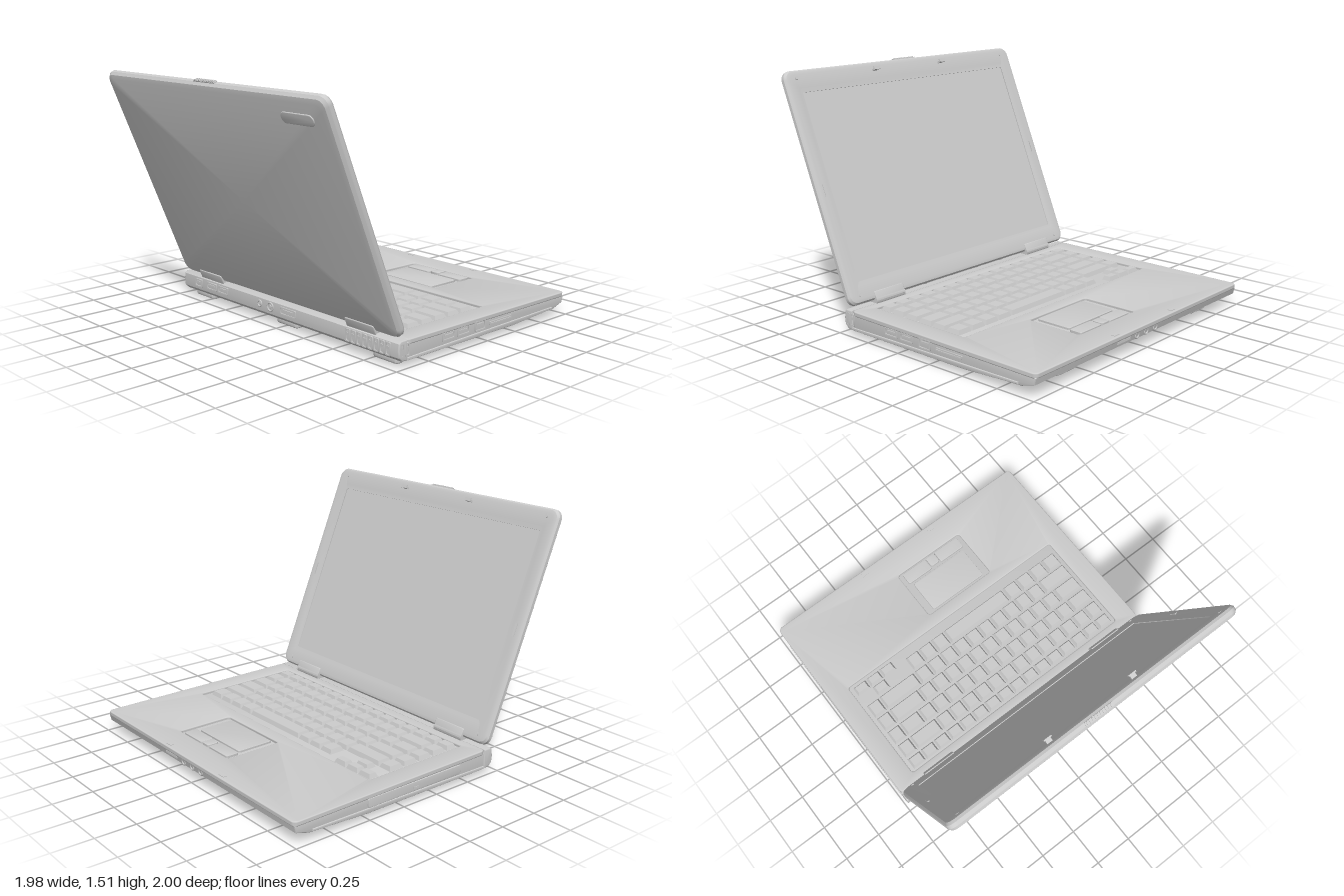
import * as THREE from 'three';
import { toCreasedNormals } from 'three/addons/utils/BufferGeometryUtils.js';

const material = new THREE.MeshStandardMaterial({ color: 0xcccccc });

function add(parent, name, geometry, x = 0, y = 0, z = 0) {
  const mesh = new THREE.Mesh(geometry, material);
  mesh.name = name;
  mesh.position.set(x, y, z);
  parent.add(mesh);
  return mesh;
}
const box = (parent, name, w, h, d, x, y, z) => add(parent, name, new THREE.BoxGeometry(w, h, d), x, y, z);

// Counter-clockwise rounded rectangle outline
function roundedRect(x0, x1, y0, y1, r, steps = 6) {
  const points = [];
  const corners = [[x1 - r, y0 + r], [x1 - r, y1 - r], [x0 + r, y1 - r], [x0 + r, y0 + r]];
  corners.forEach(([cx, cy], k) => {
    for (let i = 0; i <= steps; i++) {
      const a = (k - 1 + i / steps) * Math.PI / 2;
      points.push(new THREE.Vector2(cx + r * Math.cos(a), cy + r * Math.sin(a)));
    }
  });
  return points;
}

function extrude(points, depth, bevel, holes = []) {
  const shape = new THREE.Shape(points);
  holes.forEach(h => shape.holes.push(new THREE.Path(h)));
  const g = new THREE.ExtrudeGeometry(shape, {
    depth: depth - 2 * bevel, bevelEnabled: bevel > 0, bevelThickness: bevel,
    bevelSize: bevel, bevelOffset: -bevel, bevelSegments: 3,
  });
  g.translate(0, 0, bevel - depth / 2);
  return toCreasedNormals(g, 0.6);
}

// Horizontal plate given in x and z
function plate(parent, name, points, top, thick, bevel, holes) {
  return add(parent, name, extrude(points, thick, bevel, holes).rotateX(Math.PI / 2), 0, top - thick / 2, 0);
}

// Side profile of [z, y] points extended across the width
function prism(parent, name, profile, width, bevel) {
  const g = extrude(profile.map(p => new THREE.Vector2(...p)), width, bevel);
  return add(parent, name, g.rotateY(-Math.PI / 2));
}

// Skin through rounded rectangles [x half width, y0, y1, radius, z]
function loft(rings) {
  const loops = rings.map(([w, y0, y1, r, z]) =>
    roundedRect(-w, w, y0, y1, r).map(p => new THREE.Vector3(p.x, p.y, z)));
  const n = loops[0].length, index = [];
  for (let k = 0; k < loops.length - 1; k++) for (let i = 0; i < n; i++) {
    const a = k * n + i, b = k * n + (i + 1) % n;
    index.push(a, b, b + n, a, b + n, a + n);
  }
  const g = new THREE.BufferGeometry().setFromPoints(loops.flat());
  g.setIndex(index);
  return toCreasedNormals(g, 0.5);
}

// Keycap narrowing towards the top
function key(parent, x0, x1, z0, z1) {
  const w = Math.abs(x1 - x0) - 0.008, d = z1 - z0, h = 0.026;
  const g = new THREE.BoxGeometry(w, h, d), p = g.attributes.position;
  for (let i = 0; i < p.count; i++) if (p.getY(i) > 0) {
    p.setX(i, p.getX(i) - Math.sign(p.getX(i)) * 0.012);
    p.setZ(i, p.getZ(i) * (1 - 0.022 / d));
  }
  g.computeVertexNormals();
  add(parent, 'key', g, (x0 + x1) / 2, -0.004, (z0 + z1) / 2);
}

// Socket rim with a tongue, facing +z
function port(parent, name, x, y, w, h) {
  const g = new THREE.Group();
  g.name = name;
  const t = 0.007;
  add(g, 'socketRim', extrude(roundedRect(-w / 2, w / 2, -h / 2, h / 2, 0.004), 0.012, 0, [
    roundedRect(t - w / 2, w / 2 - t, t - h / 2, h / 2 - t, 0.002)]));
  box(g, 'socketTongue', w * 0.65, h * 0.22, 0.01, 0, h * 0.1, 0);
  g.position.set(x, y, 0);
  parent.add(g);
}

function buildBase(model) {
  prism(model, 'baseBody', [[-0.985, 0.075], [-0.9, 0.05], [-0.5, 0.035], [0.41, 0.035], [0.41, 0.137],
    [-0.97, 0.126], [-0.995, 0.115]], 1.96, 0.006);
  prism(model, 'rearBar', [[0.4, 0.035], [0.44, 0.037], [0.465, 0.06], [0.47, 0.1], [0.465, 0.14],
    [0.45, 0.154], [0.4, 0.154]], 1.97, 0.008);
  prism(model, 'lowerTrim', [[-0.88, 0.055], [-0.5, 0.035], [0.4, 0.035], [0.4, 0.052], [0, 0.058], [-0.88, 0.068]], 1.972, 0.003);

  // Upper deck with keyboard and touchpad openings
  const deck = new THREE.Group();
  deck.name = 'deck';
  deck.position.set(0, 0.148, -0.3);
  deck.rotation.x = -0.008;
  model.add(deck);
  const inner = new THREE.Group();
  inner.name = 'deckParts';
  inner.position.z = 0.3;
  deck.add(inner);
  plate(inner, 'palmRestDeck', roundedRect(-0.985, 0.985, -1, 0.405, 0.03), 0, 0.03, 0.007, [
    roundedRect(-0.85, 0.85, -0.375, 0.34, 0.015), roundedRect(-0.12, 0.4, -0.82, -0.46, 0.02)]);
  plate(inner, 'touchpad', roundedRect(-0.07, 0.35, -0.71, -0.475, 0.015), -0.004, 0.02, 0.002);
  for (const x of [0.005, 0.275])
    plate(inner, 'touchpadButton', roundedRect(x - 0.095, x + 0.095, -0.81, -0.725, 0.012), -0.001, 0.02, 0.003);
  plate(inner, 'scrollButton', roundedRect(0.105, 0.175, -0.81, -0.735, 0.015), 0.002, 0.02, 0.003);

  // Keyboard rows: z range, first x, key widths
  const many = (n, w) => Array(n).fill(w);
  const rows = [
    [-0.355, -0.29, -0.83, many(3, 0.105)],
    [-0.283, -0.215, -0.725, [0.105]],
    [-0.31, -0.21, -0.435, [...many(3, 0.105), 0.5, ...many(4, 0.1125)]],
    [-0.2, -0.1, -0.83, [0.1, 0.285, ...many(10, 0.105), 0.225]],
    [-0.09, 0.01, -0.83, [0.1, 0.235, ...many(11, 0.104), 0.181]],
    [0.025, 0.122, -0.83, [0.1, 0.15, ...many(12, 0.1045), 0.156]],
    [0.137, 0.235, -0.83, [0.1, 0.21, ...many(12, 0.104), 0.102]],
    [0.25, 0.325, -0.83, many(16, 0.10375)],
  ];
  for (const [z0, z1, start, widths] of rows) {
    let x = start;
    for (const w of widths) { key(inner, x, x + w, z0, z1); x += w; }
  }
  for (const x of [-0.29, 0.27]) box(inner, 'latchSlot', 0.045, 0.004, 0.025, x, 0.001, -0.97);
}

function buildPorts(model) {
  const rear = new THREE.Group();
  rear.name = 'rearPorts';
  rear.position.z = 0.468;
  model.add(rear);
  port(rear, 'modemPort', -0.82, 0.105, 0.07, 0.05);
  for (const x of [-0.68, -0.56]) port(rear, 'usbPort', x, 0.108, 0.1, 0.045);
  port(rear, 'videoPort', 0.075, 0.107, 0.14, 0.046);
  for (const [x, r] of [[-0.19, 0.018], [-0.09, 0.026]]) {
    add(rear, 'roundPort', new THREE.TorusGeometry(r, 0.005, 8, 24), x, 0.107, 0.002);
    add(rear, 'roundPortPin', new THREE.CylinderGeometry(r * 0.4, r * 0.4, 0.012, 16).rotateX(Math.PI / 2), x, 0.107, 0);
  }
  for (let i = 0; i < 8; i++) port(rear, 'ventSlot', 0.59 + i * 0.045, 0.098, 0.035, 0.075);

  // Sockets on the model's left side
  const side = new THREE.Group();
  side.name = 'sidePorts';
  side.rotation.y = Math.PI / 2;
  side.position.x = 0.98;
  model.add(side);
  for (const z of [0.07, -0.055]) port(side, 'usbPort', -z, 0.1, 0.1, 0.045);
  port(side, 'networkPort', 0.2, 0.1, 0.09, 0.06);
  port(side, 'cardSlot', 0.385, 0.095, 0.2, 0.018);
  for (const z of [0.44, 0.4]) port(side, 'sideVent', -z, 0.098, 0.03, 0.075);

  // Disc drive on the model's right side
  add(model, 'discDrive', extrude(roundedRect(-0.5, 0.2, 0.065, 0.12, 0.01), 0.016, 0.002).rotateY(-Math.PI / 2), -0.98);
  box(model, 'driveButton', 0.006, 0.012, 0.04, -0.988, 0.085, -0.15);

  // Jacks and indicators on the edge nearest the user
  for (const x of [-0.09, 0, 0.09]) add(model, 'audioJack', new THREE.TorusGeometry(0.017, 0.006, 8, 20), x, 0.096, -0.988);
  box(model, 'indicatorStrip', 0.12, 0.014, 0.01, 0.22, 0.1, -0.99);
}

function buildUnderside(model) {
  const v = (x, z) => new THREE.Vector2(x, z);
  plate(model, 'undersideCover', [v(0.94, -0.51), v(0.94, 0.36), v(-0.15, 0.36), v(-0.15, -0.2), v(0.1, -0.2), v(0.1, -0.51)],
    0.04, 0.024, 0.004);
  plate(model, 'batteryCover', roundedRect(-0.82, -0.12, -0.5, -0.1, 0.02), 0.04, 0.009, 0.002);
  plate(model, 'memoryCover', roundedRect(-0.79, -0.26, 0.05, 0.37, 0.02), 0.04, 0.009, 0.002);
  for (const [x, z] of [[0.63, -0.34], [0.35, 0]])
    for (let i = 0; i < 6; i++) box(model, 'undersideVent', 0.16, 0.006, 0.012, x, 0.015, z - 0.06 + i * 0.024);
  for (const x of [-0.83, 0, 0.83])
    plate(model, 'rearFoot', roundedRect(x - 0.095, x + 0.095, 0.365, 0.42, 0.02), 0.04, 0.04, 0.008);
  for (const x of [-0.65, 0.65])
    plate(model, 'frontFoot', roundedRect(x - 0.08, x + 0.08, -0.93, -0.88, 0.02), 0.065, 0.035, 0.006);
}

function buildLid(model) {
  const lid = new THREE.Group();
  lid.name = 'lid';
  lid.position.set(0, 0.168, 0.427);
  lid.rotation.x = Math.PI / 8;
  model.add(lid);

  // Screen, sloping bezel, rim and outer cover in one skin
  add(lid, 'lidShell', loft([
    [0, 0.7, 0.7, 0, -0.016], [0.88, 0.13, 1.3, 0.003, -0.016], [0.88, 0.13, 1.3, 0.003, -0.021],
    [0.9, 0.11, 1.33, 0.008, -0.023], [0.955, 0.03, 1.41, 0.04, -0.033], [0.975, 0.01, 1.43, 0.05, -0.028],
    [0.985, 0, 1.44, 0.055, -0.014], [0.985, 0, 1.44, 0.055, 0.008], [0.972, 0.013, 1.427, 0.05, 0.025],
    [0.945, 0.04, 1.4, 0.04, 0.032], [0, 0.7, 0.7, 0, 0.033]]));
  add(lid, 'outerBadgePlate', extrude(roundedRect(0.62, 0.87, 1.275, 1.34, 0.03), 0.012, 0.003), 0, 0, 0.032);
  for (const x of [-0.29, 0.29]) {
    box(lid, 'latchHook', 0.035, 0.012, 0.03, x, 1.385, -0.042);
    box(lid, 'latchHookTip', 0.05, 0.02, 0.008, x, 1.39, -0.058);
  }
  box(lid, 'latchSlider', 0.19, 0.012, 0.025, 0, 1.439, -0.003);
  for (let i = 0; i < 10; i++) box(lid, 'sliderRib', 0.008, 0.008, 0.022, -0.08 + i * 0.018, 1.446, -0.003);
  // Bezel bumpers
  for (const s of [-1, 1]) {
    box(lid, 'sideBumper', 0.015, 0.08, 0.006, s * 0.935, 0.7, -0.031);
    for (const y of [0.05, 1.39])
      add(lid, 'screwCap', new THREE.CylinderGeometry(0.012, 0.012, 0.006, 16).rotateX(Math.PI / 2), s * 0.9, y, -0.031);
  }

  // Hinge barrels and covers
  for (const s of [-1, 1]) {
    add(model, 'hingeBarrel', new THREE.CylinderGeometry(0.036, 0.036, 0.23, 24).rotateZ(Math.PI / 2), s * 0.685, 0.168, 0.424);
    add(lid, 'hingeCover', extrude(roundedRect(s * 0.685 - 0.115, s * 0.685 + 0.115, -0.015, 0.048, 0.008), 0.076, 0.004));
  }
}

export function createModel() {
  const model = new THREE.Group();
  model.name = 'laptop';
  buildBase(model);
  buildPorts(model);
  buildUnderside(model);
  buildLid(model);
  return model;
}
